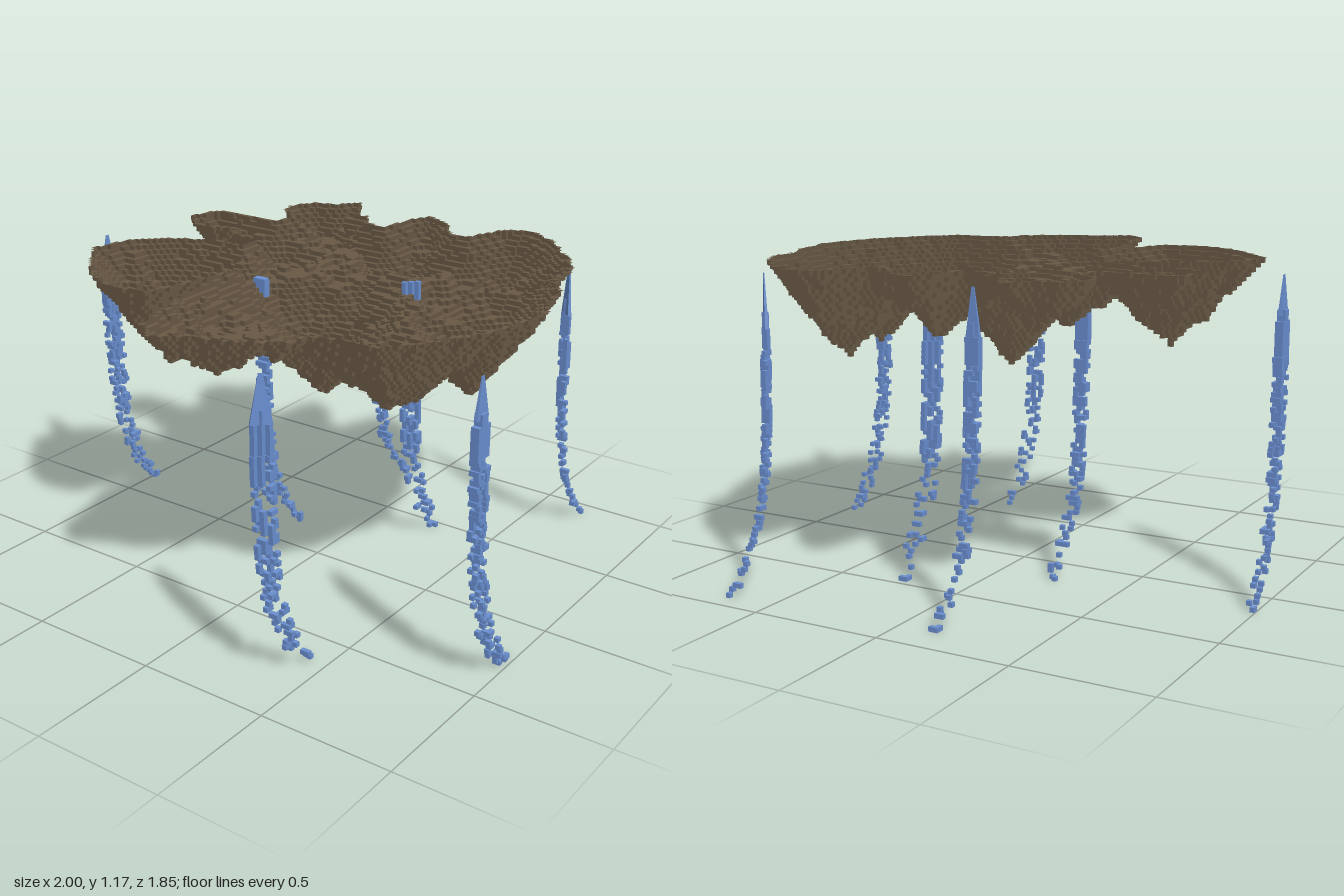
import * as THREE from 'three';
import { mergeGeometries } from 'three/addons/utils/BufferGeometryUtils.js';

const S = 0.0175;   // voxel size
const TOP = 1.17;   // rim height of the island

// Seeded noise helpers
const hash = (i, j) => {
  const v = Math.sin(i * 127.1 + j * 311.7) * 43758.5453;
  return v - Math.floor(v);
};
function noise(x, z) {
  const i = Math.floor(x), j = Math.floor(z);
  const u = x - i, v = z - j;
  const a = hash(i, j) * (1 - u) + hash(i + 1, j) * u;
  const b = hash(i, j + 1) * (1 - u) + hash(i + 1, j + 1) * u;
  return (a * (1 - v) + b * v) * 2 - 1;
}

// Island outline in x, z
const outline = [
  [-0.6, -0.64], [-0.55, -0.74], [-0.45, -0.77], [-0.39, -0.85], [-0.31, -0.74], [-0.3, -0.67],
  [-0.24, -0.69], [-0.2, -0.6], [-0.1, -0.58], [-0.08, -0.75], [-0.03, -0.83], [0.03, -0.81],
  [0.12, -0.73], [0.17, -0.65], [0.24, -0.65], [0.3, -0.82], [0.37, -0.87], [0.45, -0.85],
  [0.55, -0.78], [0.62, -0.7], [0.7, -0.62], [0.77, -0.48], [0.77, -0.38], [0.85, -0.25],
  [0.87, -0.12], [0.92, -0.04], [0.89, 0.1], [0.88, 0.2], [0.81, 0.35], [0.73, 0.48],
  [0.65, 0.58], [0.5, 0.6], [0.41, 0.62], [0.4, 0.7], [0.25, 0.8], [0.12, 0.84], [0, 0.92],
  [-0.1, 0.82], [-0.13, 0.65], [-0.18, 0.55], [-0.19, 0.36], [-0.21, 0.2], [-0.24, 0.34],
  [-0.27, 0.46], [-0.3, 0.59], [-0.45, 0.61], [-0.6, 0.55], [-0.72, 0.42], [-0.83, 0.28],
  [-0.78, 0.13], [-0.65, 0], [-0.53, -0.05], [-0.4, -0.06], [-0.4, -0.14], [-0.52, -0.16], [-0.57, -0.23],
  [-0.66, -0.18], [-0.75, -0.2], [-0.84, -0.28], [-0.78, -0.41], [-0.6, -0.41], [-0.5, -0.41], [-0.48, -0.5], [-0.58, -0.57],
];

// Hanging rock cones: x, z, depth, radius
const cones = [
  [-0.45, 0.3, 0.35, 0.4], [0.1, 0.1, 0.42, 0.42], [0.64, -0.07, 0.4, 0.36], [0.52, -0.4, 0.36, 0.45],
  [0.5, 0.27, 0.35, 0.4], [0.1, 0.7, 0.2, 0.24], [0.05, -0.52, 0.24, 0.36], [-0.32, -0.27, 0.2, 0.3],
  [-0.45, -0.66, 0.15, 0.2], [-0.72, -0.3, 0.12, 0.18], [0.38, -0.64, 0.23, 0.28],
];

// Signed distance to the outline, positive inside
function edgeDistance(x, z) {
  let inside = false, best = 9;
  outline.forEach(([ax, az], i) => {
    const [bx, bz] = outline[(i + 1) % outline.length];
    if ((az > z) !== (bz > z) && x < ax + ((z - az) * (bx - ax)) / (bz - az)) inside = !inside;
    const dx = bx - ax, dz = bz - az;
    const t = Math.min(1, Math.max(0, ((x - ax) * dx + (z - az) * dz) / (dx * dx + dz * dz)));
    best = Math.min(best, Math.hypot(x - ax - t * dx, z - az - t * dz));
  });
  return inside ? best : -best;
}

// Depth of the rock in whole voxels, -1 outside
function depthAt(x, z) {
  const d = edgeDistance(x, z) + 0.01 * noise(x * 30, z * 30);
  if (d < 0) return -1;
  let depth = Math.min(0.1, d);
  for (const [cx, cz, h, r] of cones) {
    depth = Math.max(depth, h * (1 - Math.hypot(x - cx, z - cz) / r));
  }
  depth += 0.03 * noise(x * 15 + 5, z * 15) + 0.016 * noise(x * 36, z * 36 + 9);
  return Math.max(0, Math.round(Math.min(depth, d * 1.4) / S));
}

// Hollow terraced shell: one level face per cell, with walls where levels change
function islandGeometry() {
  const n = 54, grid = new Map(), pos = [];
  const at = (i, j) => TOP - Math.max(0, grid.get(i * 1000 + j) || 0) * S;
  for (let i = -n; i <= n; i++) {
    for (let j = -n; j <= n; j++) grid.set(i * 1000 + j, depthAt(i * S, j * S));
  }
  const quad = (a, b, c, d) => pos.push(...a, ...b, ...c, ...a, ...c, ...d);
  for (let i = -n; i <= n; i++) {
    for (let j = -n; j <= n; j++) {
      const y = at(i, j), yx = at(i + 1, j), yz = at(i, j + 1);
      const x0 = (i - 0.5) * S, x1 = x0 + S, z0 = (j - 0.5) * S, z1 = z0 + S;
      if (grid.get(i * 1000 + j) >= 0) quad([x0, y, z0], [x0, y, z1], [x1, y, z1], [x1, y, z0]);
      if (yx !== y) quad([x1, y, z0], [x1, yx, z0], [x1, yx, z1], [x1, y, z1]);
      if (yz !== y) quad([x0, y, z1], [x1, y, z1], [x1, yz, z1], [x0, yz, z1]);
    }
  }
  const geo = new THREE.BufferGeometry();
  geo.setAttribute('position', new THREE.Float32BufferAttribute(pos, 3));
  geo.computeVertexNormals();
  return geo;
}

// Waterfall: a row of columns under a thin pointed fin, then cubes thinning out along a curve drifting back
function waterfallGeometry({ x, z, top, point, dir, cells }, seed) {
  const parts = [], solid = 49 * S, shoulder = top - point;
  const [dx, dz] = dir, mid = (cells - 1) / 2;
  for (let a = 0; a < cells; a++) {
    const px = x + (a - mid) * dx * S, pz = z + (a - mid) * dz * S;
    // outer columns stop a little lower than the middle ones
    const high = shoulder - Math.abs(a - mid) * point * 0.4;
    const column = new THREE.BoxGeometry(dz && !dx ? 1.7 * S : S, high - solid, dx && !dz ? 1.7 * S : S);
    parts.push(column.translate(px, (high + solid) / 2, pz));
    for (let k = 0; k < 49; k++) {
      const y = (k + 0.5) * S;
      const drift = 0.22 * Math.pow(1 - y, 5) + 0.03 * (1 - y);
      const chance = 0.12 + 0.58 * Math.pow(y / solid, 1.2);
      // two staggered layers, one voxel apart across the row
      for (let b = 0; b < 2; b++) {
        const forced = b === 0 && k % 2 === 0 && a === Math.floor(hash(k, seed) * cells);
        if (!forced && hash(k * 7 + a, seed * 13 + b * 3) > chance) continue;
        const ox = dx ? 0 : (b - 0.5) * S, oz = dx ? (b - 0.5) * S : (hash(k, a + seed) - 0.5) * S;
        parts.push(new THREE.BoxGeometry(S, S, S).translate(px + ox, y, pz + oz - drift));
      }
    }
  }
  if (point > 0) {
    const fin = new THREE.CylinderGeometry(0.2 * Math.SQRT1_2, Math.SQRT1_2, point * 1.4, 4);
    fin.rotateY(Math.PI / 4).scale(cells * S * Math.hypot(dx, dz), 1, S * 0.8);
    fin.rotateY(Math.atan2(-dz, dx)).translate(x, top - point * 0.7, z);
    parts.push(fin);
  }
  return mergeGeometries(parts);
}

export function createModel() {
  const group = new THREE.Group();
  const rock = new THREE.MeshStandardMaterial({ name: 'rock brown', color: 0x685945, side: THREE.DoubleSide });
  const water = new THREE.MeshStandardMaterial({ name: 'water blue', color: 0x6a8fd0, flatShading: true });

  const island = new THREE.Mesh(islandGeometry(), rock);
  island.name = 'islandShell';
  group.add(island);

  // dir is the direction of the row in x, z
  const falls = [
    { x: -0.98, z: 0.065, top: 1.14, point: 0.1, dir: [0, 1], cells: 4 },
    { x: -0.22, z: 0.05, top: 1.1, point: 0, dir: [1, 0], cells: 3 },
    { x: -0.145, z: -0.61, top: 1.12, point: 0.12, dir: [1, 0], cells: 3 },
    { x: 0.255, z: -0.235, top: 1.1, point: 0, dir: [1, -1], cells: 3 },
    { x: 0.425, z: 0.88, top: 1.13, point: 0.12, dir: [1, -1], cells: 3 },
    { x: 0.665, z: -0.69, top: 1.13, point: 0.14, dir: [1, 1], cells: 3 },
    { x: 0.98, z: 0.505, top: 1.13, point: 0.1, dir: [0, 1], cells: 4 },
  ];
  falls.forEach((spec, i) => {
    const fall = new THREE.Mesh(waterfallGeometry(spec, i + 1), water);
    fall.name = 'waterfall' + (i + 1);
    group.add(fall);
  });
  return group;
}
